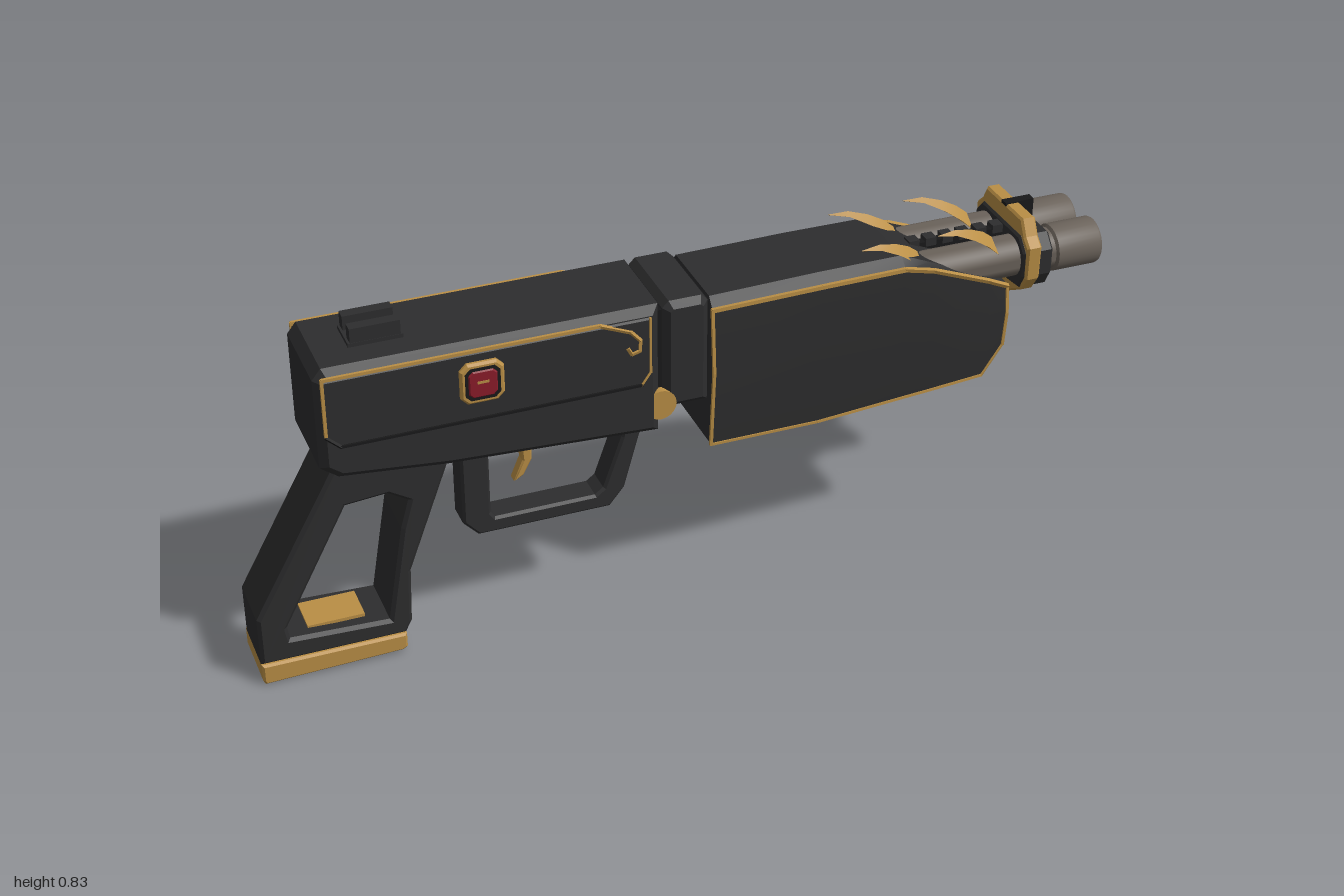
import * as THREE from 'three';
import { toCreasedNormals } from 'three/addons/utils/BufferGeometryUtils.js';

const mat = (name, color, side = THREE.FrontSide) => {
  const m = new THREE.MeshStandardMaterial({ color, side });
  m.name = name;
  return m;
};
const V2 = (p) => new THREE.Vector2(p[0], p[1]);

export function createModel() {
  const dark = mat('charcoal', 0x2d2d2e);
  const black = mat('black', 0x19191a);
  const gold = mat('gold', 0xb98e45);
  const steel = mat('steel', 0x6a625a, THREE.DoubleSide);
  const red = mat('red', 0x8a1c2a);

  const model = new THREE.Group();
  const body = new THREE.Group();
  body.name = 'body';
  body.position.z = 0.006;
  model.add(body);

  const add = (name, geo, material, x = 0, y = 0, z = 0) => {
    const m = new THREE.Mesh(geo, material);
    m.name = name;
    m.position.set(x, y, z);
    body.add(m);
    return m;
  };
  const box = (name, material, w, h, d, x, y, z) =>
    add(name, new THREE.BoxGeometry(w, h, d), material, x, y, z);

  // Side outline extruded through the width, with bevelled edges
  const slab = (pts, width, bevel = 0, hole = null) => {
    const shape = new THREE.Shape(pts.map(V2));
    if (hole) shape.holes.push(new THREE.Path(hole.map(V2)));
    const g = new THREE.ExtrudeGeometry(shape, {
      depth: width - 2 * bevel, bevelEnabled: bevel > 0, bevelSize: bevel,
      bevelThickness: bevel, bevelOffset: -bevel, bevelSegments: 1, curveSegments: 8,
    });
    return g.translate(0, 0, bevel - width / 2);
  };

  // Skin over rings of points that run along +x
  const loft = (rings) => {
    const n = rings[0].length, idx = [];
    for (let i = 0; i < rings.length - 1; i++) {
      for (let j = 0; j < n; j++) {
        const a = i * n + j, b = i * n + (j + 1) % n;
        idx.push(a, b, a + n, b, b + n, a + n);
      }
    }
    const e = (rings.length - 1) * n;
    for (let j = 1; j < n - 1; j++) idx.push(0, j + 1, j, e, e + j, e + j + 1);
    const g = new THREE.BufferGeometry();
    g.setAttribute('position', new THREE.Float32BufferAttribute(rings.flat(2), 3));
    g.setIndex(idx);
    return toCreasedNormals(g, 0.35);
  };

  // Thin inlay that follows a path of 3D points
  const trim = (name, pts, w, material) => {
    for (let i = 0; i < pts.length - 1; i++) {
      const a = new THREE.Vector3(...pts[i]), b = new THREE.Vector3(...pts[i + 1]);
      const m = add(name, new THREE.BoxGeometry(w, w, a.distanceTo(b) + w * 0.5), material);
      m.position.copy(a).add(b).multiplyScalar(0.5);
      m.quaternion.setFromUnitVectors(new THREE.Vector3(0, 0, 1), b.sub(a).normalize());
    }
  };

  // Receiver
  add('receiver', slab([[-0.84, 0.55], [-0.8, 0.52], [-0.56, 0.495], [-0.08, 0.47], [-0.08, 0.79],
    [-0.82, 0.79], [-0.84, 0.765]], 0.24, 0.018), dark);
  const panel = [[-0.825, 0.77], [-0.825, 0.635], [-0.795, 0.607], [-0.125, 0.607],
    [-0.105, 0.635], [-0.105, 0.77]];
  add('sidePanels', slab(panel, 0.25, 0.004), dark);
  for (const z of [0.04, -0.04].map((v) => v * 0.7)) {
    box('rearSight', dark, 0.11, 0.045, 0.026, -0.685, 0.81, z);
  }
  box('sightBase', dark, 0.12, 0.012, 0.084, -0.685, 0.793, 0);

  // Collar between receiver and fore-end
  add('collar', slab([[-0.07, 0.525], [0.035, 0.525], [0.035, 0.775], [0.02, 0.79], [-0.055, 0.79],
    [-0.07, 0.775]], 0.235, 0.015), dark);
  box('collarCore', black, 0.16, 0.23, 0.2, -0.02, 0.655, 0);
  const pin = add('hingePin', new THREE.CylinderGeometry(0.036, 0.036, 0.236, 20), gold, -0.078, 0.54, 0);
  pin.rotation.x = Math.PI / 2;

  // Fore-end: x, bottom y, bottom z, waist z, shoulder y, shoulder z, top y, top z
  const stations = [
    [0.04, 0.41, 0.117, 0.128, 0.755, 0.12, 0.78, 0.098],
    [0.3, 0.41, 0.117, 0.128, 0.76, 0.12, 0.785, 0.096],
    [0.5, 0.425, 0.117, 0.128, 0.762, 0.12, 0.785, 0.094],
    [0.57, 0.43, 0.117, 0.128, 0.745, 0.12, 0.755, 0.096],
    [0.71, 0.44, 0.115, 0.126, 0.69, 0.12, 0.695, 0.1],
    [0.76, 0.51, 0.112, 0.122, 0.665, 0.115, 0.67, 0.1],
  ];
  add('foreEnd', loft(stations.map(([x, yb, zb, zw, ys, zs, yt, zt]) => [
    [x, yt, zt], [x, ys, zs], [x, 0.6, zw], [x, yb, zb],
    [x, yb, -zb], [x, 0.6, -zw], [x, ys, -zs], [x, yt, -zt]])), dark);

  for (const s of [1, -1]) {
    // Gold inlays on the fore-end edges
    const shoulder = stations.map((r) => [r[0], r[4], s * r[5]]);
    const lower = stations.map((r) => [r[0], r[1], s * r[2]]);
    trim('foreEndTopInlay', shoulder, 0.009, gold);
    trim('foreEndLowerInlay', lower, 0.006, gold);
    trim('foreEndRearInlay', [shoulder[0], [0.042, 0.6, s * 0.128], lower[0]], 0.007, gold);
    trim('foreEndFrontInlay', [shoulder[5], [0.76, 0.6, s * 0.122], lower[5]], 0.007, gold);

    // Inlays on the receiver panel, with a curl at the front
    const z = s * 0.125;
    const at = (p) => [p[0], p[1], z];
    trim('panelInlay', [[-0.825, 0.64], [-0.825, 0.775], [-0.22, 0.775], [-0.15, 0.745],
      [-0.128, 0.72], [-0.13, 0.695], [-0.148, 0.69], [-0.156, 0.705]].map(at), 0.007, gold);
    trim('panelEdge', [[-0.105, 0.77], [-0.105, 0.635], [-0.125, 0.607]].map(at), 0.005, gold);
    trim('panelSeam', [[-0.125, 0.607], [-0.795, 0.607], [-0.825, 0.635]].map(at), 0.006, black);

    // Jewel in an eight-sided frame
    const oct = (r, c) => [[-r, -r + c], [-r + c, -r], [r - c, -r], [r, -r + c], [r, r - c],
      [r - c, r], [-r + c, r], [-r, r - c]];
    add('jewelFrame', slab(oct(0.049, 0.016), 0.02, 0.005), gold, -0.485, 0.7, s * 0.126);
    add('jewelSurround', slab(oct(0.039, 0.012), 0.004), black, -0.485, 0.7, s * 0.135);
    add('jewel', slab(oct(0.033, 0.01), 0.012, 0.004), red, -0.485, 0.7, s * 0.134);
    box('jewelGlint', gold, 0.026, 0.006, 0.003, -0.485, 0.705, s * 0.1395);

    // Barrels
    const profile = [[0.048, 0.44], [0.048, 0.885], [0.0545, 0.89], [0.0545, 0.995], [0.052, 1],
      [0.044, 1], [0.042, 0.99], [0.042, 0.9], [0, 0.9]];
    const barrel = toCreasedNormals(new THREE.LatheGeometry(profile.map(V2), 32), 0.6);
    add('barrel', barrel.rotateZ(-Math.PI / 2), steel, 0, 0.71, s * 0.06);

    // Curved claws lying over each barrel: x, y, z, half width, thickness
    const claw = [[0, 0.813, 0.09, 0.001, 0.001], [0.045, 0.814, 0.084, 0.013, 0.006],
      [0.09, 0.8, 0.075, 0.025, 0.011], [0.125, 0.782, 0.067, 0.034, 0.014],
      [0.15, 0.762, 0.062, 0.04, 0.015]];
    for (const x0 of [0.405, 0.59]) {
      add('claw', loft(claw.map(([x, y, zc, w, t]) => [
        [x0 + x, y + t * 0.4, s * zc], [x0 + x, y - w * 0.5, s * zc + w],
        [x0 + x, y - t - w * 0.3, s * zc], [x0 + x, y - w * 0.5, s * zc - w]])), gold);
    }
  }

  // Rib between the barrels
  box('barrelRib', black, 0.4, 0.07, 0.02, 0.62, 0.72, 0);
  for (let i = 0; i < 7; i++) box('ribTooth', dark, 0.026, 0.02, 0.028, 0.53 + i * 0.042, 0.755, 0);

  // Muzzle clamp: dark block with a gold band
  const mirrored = (half) => [...half, ...half.slice().reverse().map(([z, y]) => [-z, y])];
  const clamp = (name, half, length, material, x) =>
    add(name, slab(mirrored(half), length, 0.005).rotateY(Math.PI / 2), material, x, 0, 0);
  clamp('muzzleClamp', [[0.045, 0.638], [0.1, 0.645], [0.119, 0.68], [0.119, 0.74], [0.09, 0.772]],
    0.075, dark, 0.832);
  clamp('clampBand', [[0.045, 0.606], [0.1, 0.638], [0.125, 0.675], [0.127, 0.755], [0.105, 0.775],
    [0.085, 0.812], [0.03, 0.812]], 0.036, gold, 0.818);
  box('clampPost', black, 0.07, 0.06, 0.022, 0.835, 0.785, 0);

  // Open grip with a gold base
  add('grip', slab([[-1, 0.05], [-0.67, 0.05], [-0.655, 0.08], [-0.65, 0.215], [-0.555, 0.47],
    [-0.55, 0.53], [-0.8, 0.53], [-1, 0.17]], 0.15, 0.008,
  [[-0.93, 0.105], [-0.935, 0.135], [-0.785, 0.42], [-0.69, 0.428], [-0.645, 0.4],
    [-0.665, 0.33], [-0.705, 0.095]]), dark);
  add('gripBase', slab([[-0.995, 0], [-0.68, 0.008], [-0.67, 0.015], [-0.67, 0.052], [-1, 0.052],
    [-1, 0.01]], 0.158, 0.005), gold);
  box('gripInset', gold, 0.13, 0.008, 0.09, -0.82, 0.104, 0);

  // Trigger guard and trigger
  add('triggerGuard', slab([[-0.515, 0.5], [-0.515, 0.28], [-0.48, 0.242], [-0.17, 0.242],
    [-0.135, 0.285], [-0.08, 0.48], [-0.135, 0.48], [-0.14, 0.42], [-0.185, 0.295], [-0.205, 0.28],
    [-0.44, 0.28], [-0.45, 0.295], [-0.45, 0.5]], 0.07, 0.006), dark);
  add('trigger', slab([[-0.385, 0.5], [-0.37, 0.44], [-0.367, 0.4], [-0.388, 0.35], [-0.365, 0.362],
    [-0.345, 0.4], [-0.345, 0.44], [-0.355, 0.5]], 0.03, 0.004), gold);

  // Latch plate on the right side
  box('latchPlate', gold, 0.2, 0.056, 0.016, -0.29, 0.572, -0.122);
  box('latchRecess', black, 0.105, 0.036, 0.004, -0.29, 0.572, -0.1295);
  box('latchButton', gold, 0.095, 0.028, 0.008, -0.29, 0.572, -0.13);

  // Red vents on the right side of the fore-end
  for (const [x, y, w] of [[0.285, 0.545, 0.15], [0.605, 0.535, 0.115]]) {
    const lens = (k, h) => [[-w * k, -h * 0.35], [-w * 0.45, -h], [w * 0.5, -h * 0.7], [w * k, h * 0.35],
      [w * 0.45, h], [-w * 0.5, h * 0.7]];
    const parts = [['ventRim', 1.05, 0.04, black, 0], ['vent', 1, 0.034, red, 0.002]];
    for (const [name, k, h, m, out] of parts) {
      const vent = add(name, slab(lens(k, h), 0.008), m, x, y, -0.1245 - out);
      vent.rotation.x = -0.06;
    }
  }

  // Sling loop at the rear right
  const loop = add('slingLoop', new THREE.TorusGeometry(0.017, 0.009, 8, 20), black, -0.8, 0.642, -0.125);
  loop.rotation.x = Math.PI / 2;

  return model;
}
